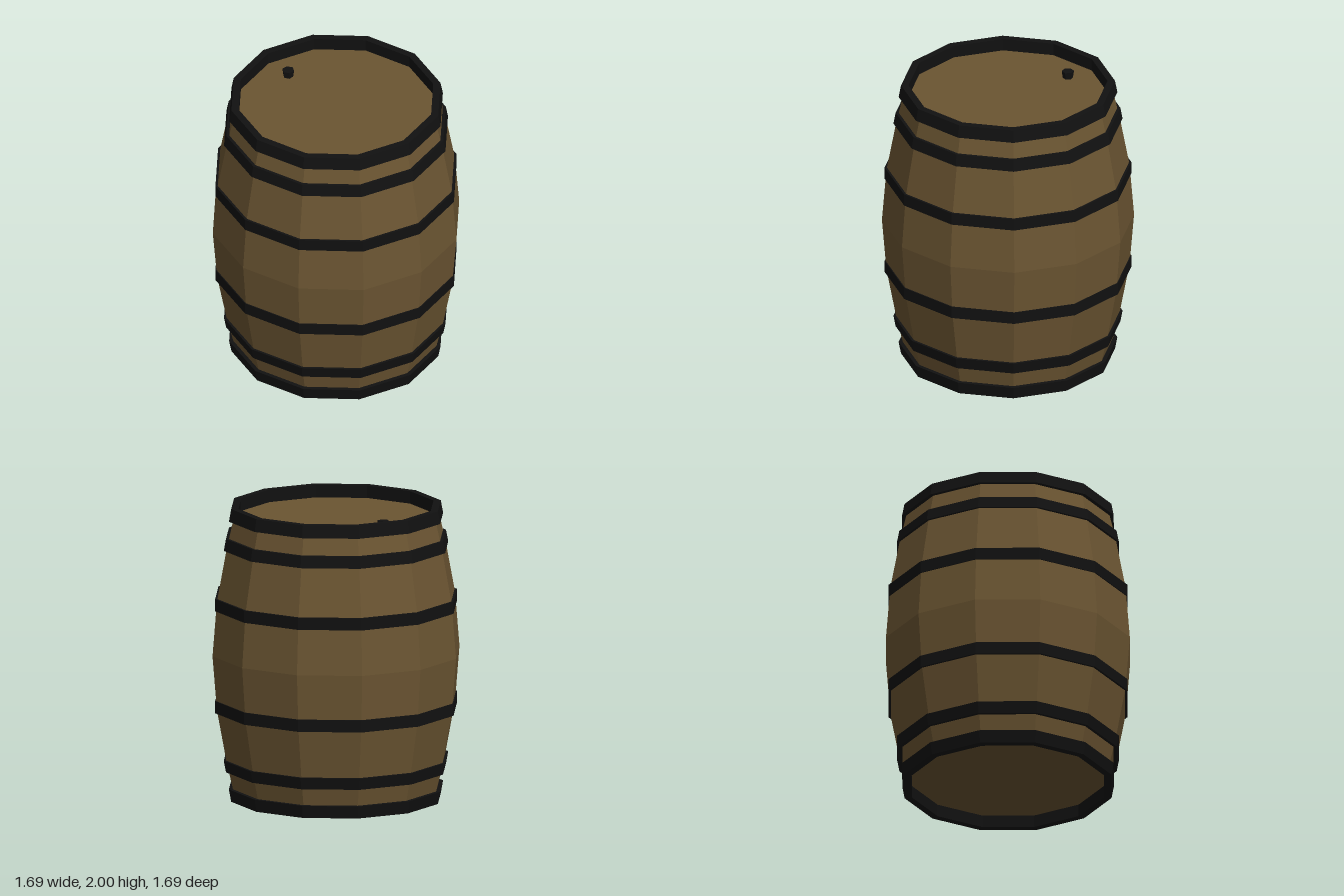
import * as THREE from 'three';

const SIDES = 12;
const wood = new THREE.MeshStandardMaterial({ color: 0x6b5532, flatShading: true });
const iron = new THREE.MeshStandardMaterial({ color: 0x111111, flatShading: true });

// Faceted solid of revolution; the profile runs upwards on the outside
function turned(name, profile, material) {
  const points = profile.map(([r, y]) => new THREE.Vector2(r, y));
  const mesh = new THREE.Mesh(new THREE.LatheGeometry(points, SIDES), material);
  mesh.name = name;
  return mesh;
}

// Closed ring with a sloped outer face
function hoop(name, y0, y1, r0, r1, inner) {
  return turned(name, [[inner, y0], [r0, y0], [r1, y1], [inner, y1], [inner, y0]], iron);
}

export function createModel() {
  const barrel = new THREE.Group();
  barrel.name = 'barrel';

  // Bulging staves with recessed flat heads at both ends
  barrel.add(turned('staves', [
    [0, 0.085], [0.705, 0.085], [0.75, 0.28], [0.815, 0.63], [0.845, 1],
    [0.815, 1.37], [0.75, 1.72], [0.705, 1.915], [0, 1.915],
  ], wood));

  // Hoops as [bottom, top, bottom radius, top radius, inner radius], mirrored about mid height
  const hoops = [
    ['rimHoop', 1.915, 2, 0.733, 0.717, 0.667],
    ['quarterHoop', 1.717, 1.797, 0.768, 0.753, 0.7],
    ['bilgeHoop', 1.307, 1.39, 0.827, 0.827, 0.78],
  ];
  for (const [name, y0, y1, r0, r1, inner] of hoops) {
    barrel.add(hoop(name + 'Upper', y0, y1, r0, r1, inner));
    barrel.add(hoop(name + 'Lower', 2 - y1, 2 - y0, r1, r0, inner));
  }

  // Small tapered plug in the top head
  const plug = new THREE.Mesh(new THREE.CylinderGeometry(0.041, 0.033, 0.06, 6), iron);
  plug.name = 'plug';
  plug.position.set(-0.235, 1.935, -0.413);
  barrel.add(plug);

  return barrel;
}
